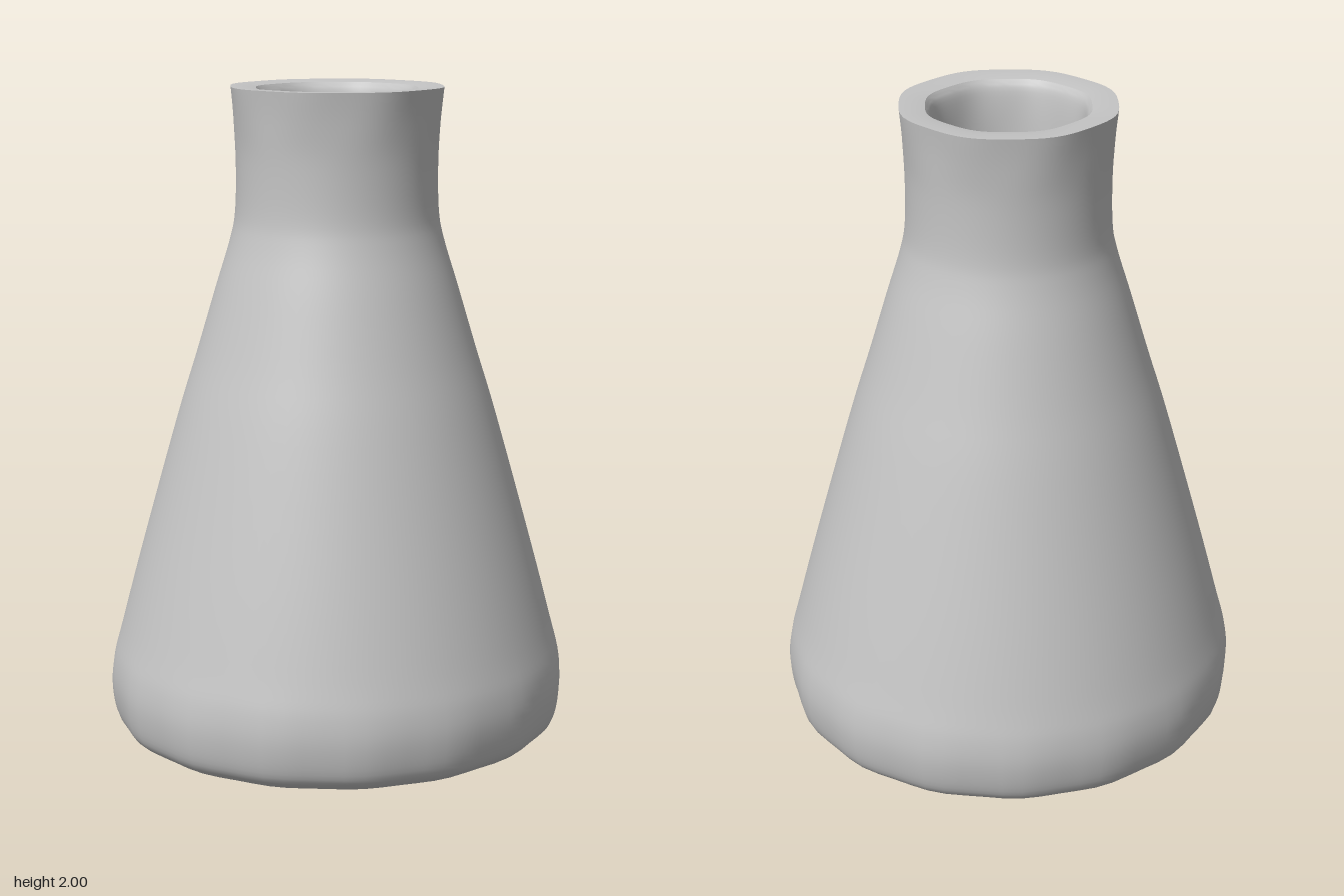
import * as THREE from 'three';
import { toCreasedNormals } from 'three/addons/utils/BufferGeometryUtils.js';

const SEGMENTS = 72;

// Slightly uneven, hand-moulded outline: strongest at the lip and the foot
function mould(geometry) {
  const pos = geometry.attributes.position;
  for (let i = 0; i < pos.count; i++) {
    const x = pos.getX(i), y = pos.getY(i), z = pos.getZ(i);
    const a = Math.atan2(z, x);
    const lip = THREE.MathUtils.smoothstep(y, 1.8, 2);
    const foot = 1 - THREE.MathUtils.smoothstep(y, 0.05, 0.35);
    const k = 1 + 0.012 * lip * Math.cos(8 * a) + 0.006 * foot * Math.cos(16 * a + 0.6);
    pos.setXYZ(i, x * k, y, z * k * (1 - 0.018 * (1 - y / 2)));
  }
  return toCreasedNormals(geometry, 0.6);
}

export function createModel() {
  const group = new THREE.Group();
  const clay = new THREE.MeshStandardMaterial({ color: 0xc4c4c4 });
  clay.name = 'plain grey';

  function turned(name, profile) {
    const points = profile.map(([r, y]) => new THREE.Vector2(r, y));
    const mesh = new THREE.Mesh(mould(new THREE.LatheGeometry(points, SEGMENTS)), clay);
    mesh.name = name;
    group.add(mesh);
  }

  // Smooth curve through a few radius/height pairs
  function smooth(pairs, steps) {
    const curve = new THREE.SplineCurve(pairs.map(([r, y]) => new THREE.Vector2(r, y)));
    return curve.getPoints(steps).map((p) => [p.x, p.y]);
  }

  // Flat underside
  turned('base', [[0, 0], [0.3, 0], [0.59, 0]]);

  // Rounded foot, conical flank and slightly flared neck
  turned('outerWall', smooth([
    [0.59, 0], [0.645, 0.02], [0.685, 0.06], [0.703, 0.15], [0.698, 0.24],
    [0.67, 0.35], [0.603, 0.6], [0.49, 1], [0.428, 1.2], [0.368, 1.4],
    [0.325, 1.54], [0.308, 1.63], [0.305, 1.78], [0.312, 1.9], [0.322, 2],
  ], 70));

  // Flat lip round the mouth
  turned('rim', [[0.322, 2], [0.28, 2], [0.245, 1.995]]);

  // Hollow inside, narrow at the neck and wide below
  turned('innerWall', smooth([
    [0.245, 1.995], [0.228, 1.96], [0.217, 1.85], [0.213, 1.65], [0.235, 1.53],
    [0.33, 1.2], [0.39, 1], [0.503, 0.6], [0.57, 0.35], [0.595, 0.2], [0.56, 0.1],
  ], 50));
  turned('innerFloor', [[0.56, 0.1], [0.3, 0.1], [0, 0.1]]);

  return group;
}
